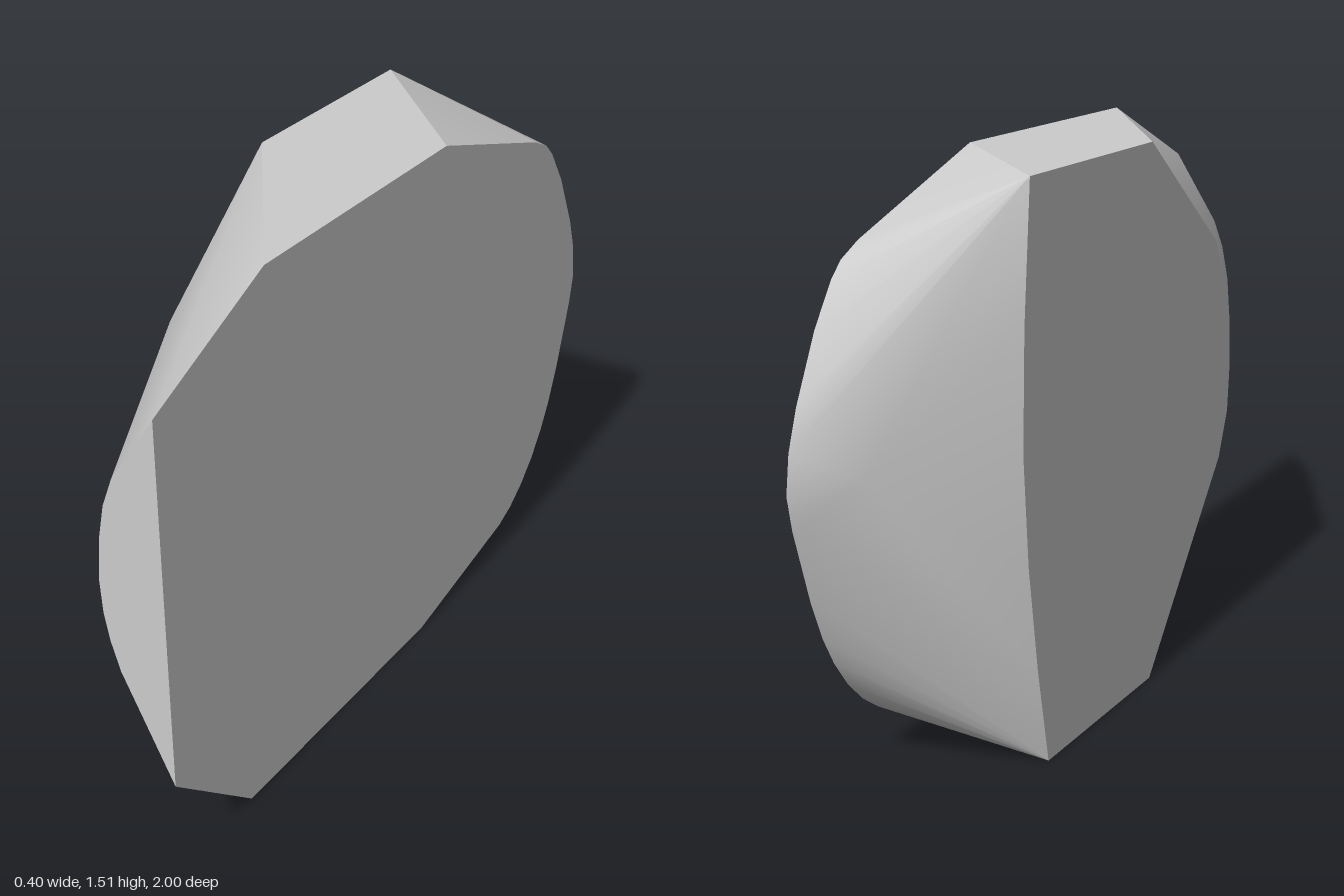
import * as THREE from 'three';
import { ConvexGeometry } from 'three/addons/geometries/ConvexGeometry.js';
import { toCreasedNormals } from 'three/addons/utils/BufferGeometryUtils.js';

// Faceted block: a convex solid spanned by its flat left, right and front faces
export function createModel() {
  const group = new THREE.Group();
  group.name = 'facetedBlock';
  const stone = new THREE.MeshStandardMaterial({ color: 0xcccccc });
  stone.name = 'stone grey';

  // Large left face at x = 0.2, as [z, y], rounded towards the back
  const leftFace = [
    [1, 0.28], [1, 1.32], [0.59, 1.51], [-0.2, 1.51], [-0.69, 1.345],
    [-0.76, 1.31], [-0.8, 1.27], [-0.87, 1.165], [-0.95, 1.0], [-0.985, 0.9],
    [-1, 0.8], [-0.985, 0.71], [-0.96, 0.62], [-0.93, 0.51], [-0.89, 0.4],
    [-0.85, 0.32], [-0.8, 0.245], [-0.74, 0.18], [-0.675, 0.13], [-0.61, 0.1],
    [-0.15, 0], [0.7, 0],
  ];
  // Smaller right face at x = -0.2, as [z, y]
  const rightFace = [
    [0.04, 1.51], [0.44, 1.18], [0.51, 1.03], [0.54, 0.92], [0.55, 0.8],
    [0.54, 0.66], [0.49, 0.53], [0.06, 0],
    [-0.5, 0], [-0.55, 0.27], [-0.59, 0.56], [-0.61, 0.85], [-0.6, 1.16], [-0.57, 1.51],
  ];
  // Curved edge of the front face at z = 1, as [x, y]
  const frontEdge = [
    [0.07, 1.12], [0.04, 1.04], [0.02, 0.94], [0.01, 0.82],
    [0.015, 0.73], [0.03, 0.65], [0.055, 0.57],
  ];

  const points = [
    ...leftFace.map(([z, y]) => new THREE.Vector3(0.2, y, z)),
    ...rightFace.map(([z, y]) => new THREE.Vector3(-0.2, y, z)),
    ...frontEdge.map(([x, y]) => new THREE.Vector3(x, y, 1)),
    new THREE.Vector3(0.06, 0.83, -0.885), // slight bulge of the back slope
  ];

  const geometry = toCreasedNormals(new ConvexGeometry(points), 0.4);
  const block = new THREE.Mesh(geometry, stone);
  block.name = 'block';
  group.add(block);
  return group;
}
